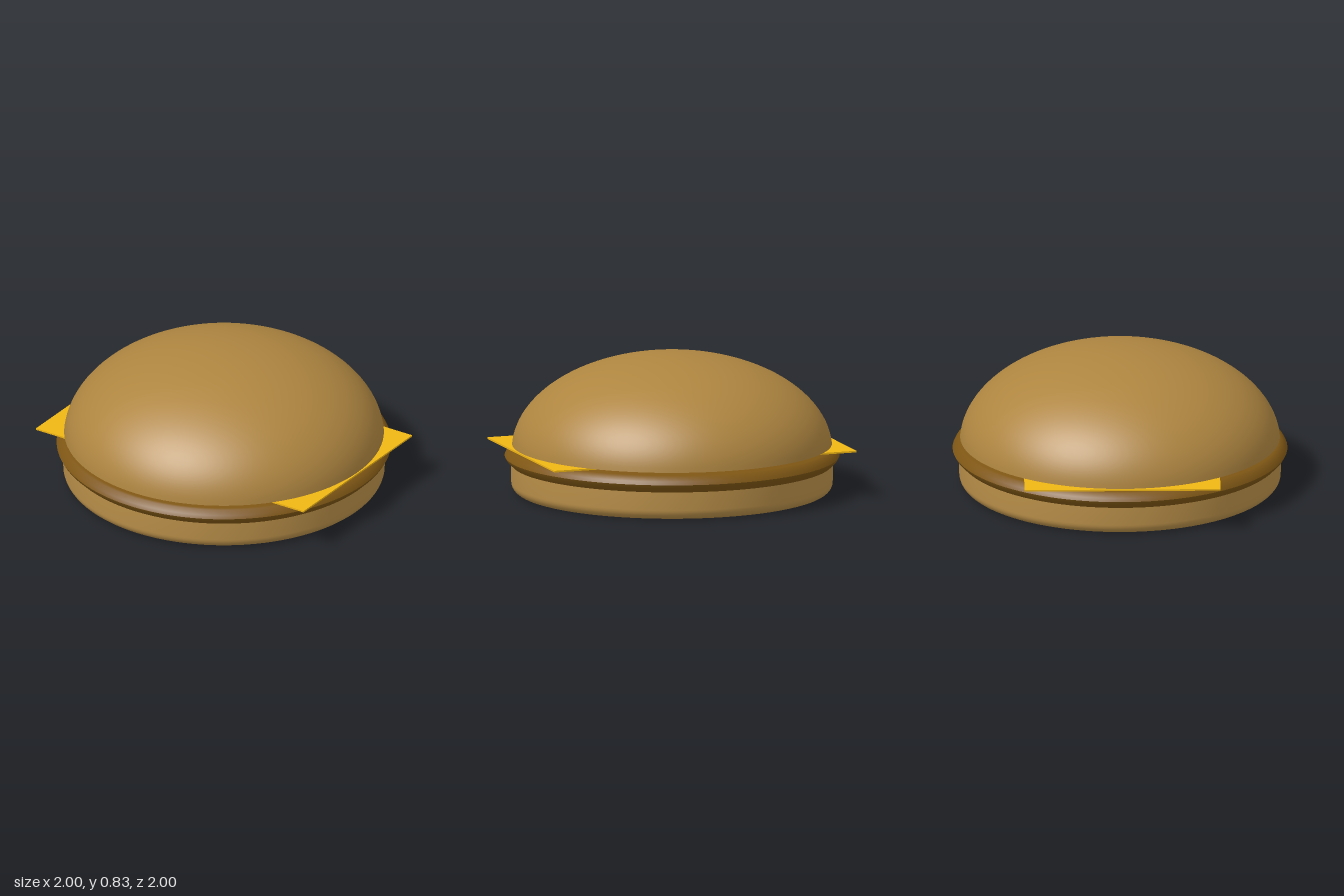
import * as THREE from 'three';
import { toCreasedNormals } from 'three/addons/utils/BufferGeometryUtils.js';

const SEGMENTS = 96;

// Revolve a list of [radius, y] points, keeping hard rims sharp.
function turned(name, points, color) {
  const profile = points.map(([r, y]) => new THREE.Vector2(r, y));
  const geometry = toCreasedNormals(new THREE.LatheGeometry(profile, SEGMENTS), 0.7);
  const mesh = new THREE.Mesh(geometry, new THREE.MeshStandardMaterial({ color }));
  mesh.name = name;
  return mesh;
}

// Points on an elliptical arc, angles measured from the +radius axis.
function arc(cx, cy, rx, ry, from, to, steps) {
  return Array.from({ length: steps + 1 }, (_, i) => {
    const a = from + ((to - from) * i) / steps;
    return [Math.max(0, cx + rx * Math.cos(a)), cy + ry * Math.sin(a)];
  });
}

export function createModel() {
  const group = new THREE.Group();
  group.name = 'burger';

  // Bottom bun: flat disc with a rounded lower edge
  group.add(turned('bottomBun', [
    [0, 0],
    ...arc(0.9, 0.06, 0.06, 0.06, -Math.PI / 2, 0, 8),
    [0.96, 0.17],
    [0, 0.17],
  ], 0xb88e48));

  // Patty: wider disc with a bulging rim
  group.add(turned('patty', [
    [0, 0.17],
    [0.96, 0.17],
    [0.99, 0.2],
    [1, 0.22],
    [0.99, 0.24],
    [0.965, 0.265],
    [0.95, 0.27],
    [0, 0.27],
  ], 0x7e5614));

  // Cheese: thin rectangular slice whose corners stick out
  const cheese = new THREE.Mesh(
    new THREE.BoxGeometry(1.92, 0.01, 1.17),
    new THREE.MeshStandardMaterial({ color: 0xf0b614 })
  );
  cheese.name = 'cheeseSlice';
  cheese.position.y = 0.281;
  group.add(cheese);

  // Top bun: dome cut slightly above its equator, closed underneath
  const cut = 0.06;
  const radius = 0.955 / Math.cos(cut);
  const height = 0.547 / (1 - Math.sin(cut));
  group.add(turned('topBun', [
    [0, 0.288],
    ...arc(0, 0.835 - height, radius, height, cut, Math.PI / 2, 32),
  ], 0xae8540));

  return group;
}
